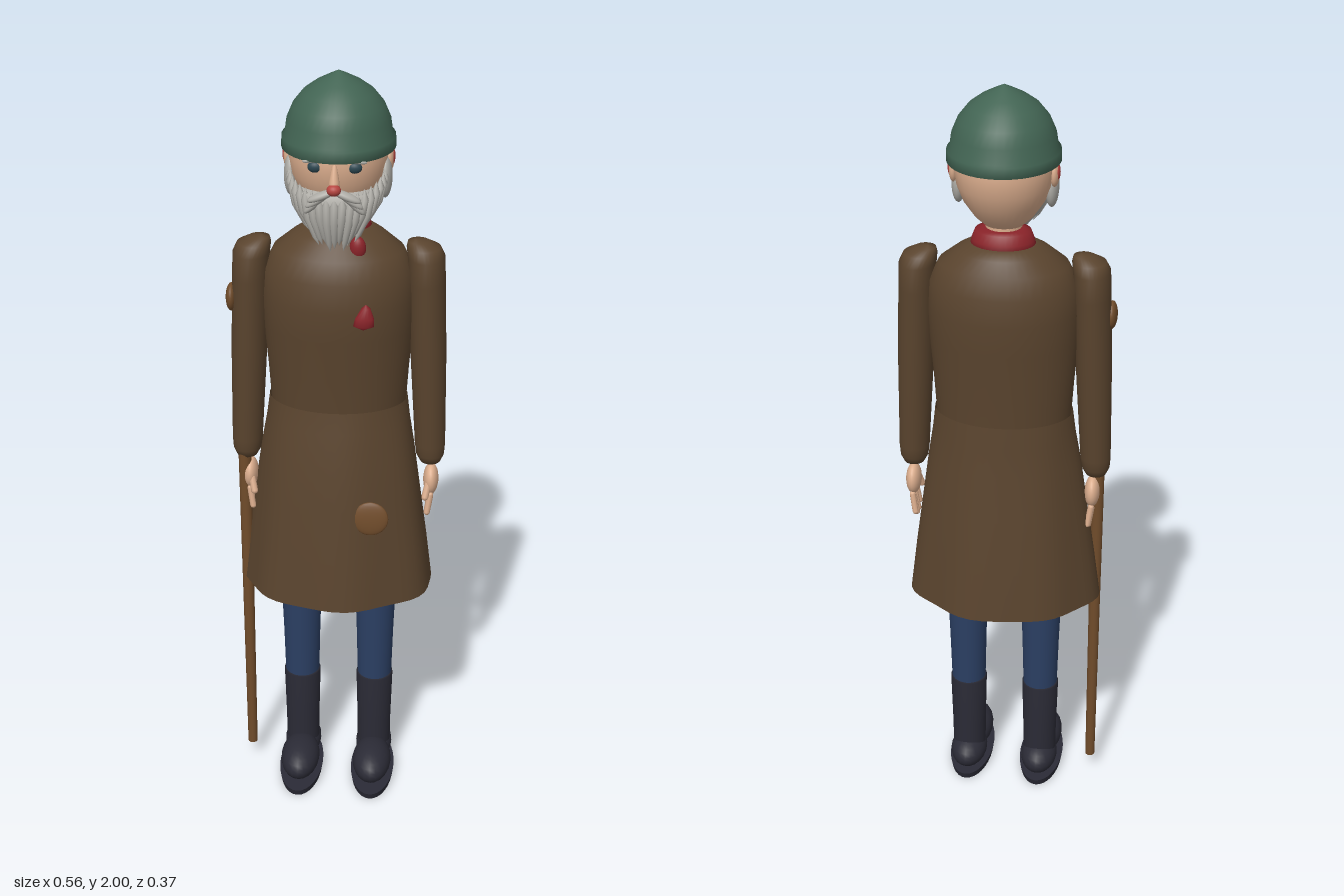
import * as THREE from 'three';

const mat = (name, color) => {
  const m = new THREE.MeshStandardMaterial({ color });
  m.name = name;
  return m;
};

export function createModel() {
  const coat = mat('coat brown', 0x5a442e);
  coat.side = THREE.DoubleSide;
  const wool = mat('hat green', 0x426453);
  const denim = mat('trouser blue', 0x2b3f63);
  const leather = mat('boot black', 0x2b2b36);
  const skin = mat('skin', 0xdcae8e);
  const hair = mat('beard grey', 0xaeaca6);
  const red = mat('scarf red', 0x8a2329);
  const tan = mat('wood brown', 0x704c2b);
  const iris = mat('eye teal', 0x2c4650);
  const flush = mat('flushed red', 0xb5443f);

  const model = new THREE.Group();
  const add = (name, geometry, material, parent = model) => {
    const m = new THREE.Mesh(geometry, material);
    m.name = name;
    parent.add(m);
    return m;
  };

  // Skin over elliptical rings [y, rx, rz, cx, cz], listed from bottom to top
  const loft = (rings, n = 32, swell = () => 1) => {
    const pos = [], idx = [];
    rings.forEach(([y, rx, rz, cx = 0, cz = 0], i) => {
      for (let j = 0; j < n; j++) {
        const a = (j / n) * Math.PI * 2, s = swell(a, i / (rings.length - 1));
        pos.push(cx + Math.sin(a) * rx * s, y, cz + Math.cos(a) * rz * s);
        if (i === rings.length - 1) continue;
        const k = (j + 1) % n, p = i * n;
        idx.push(p + j, p + k, p + n + k, p + j, p + n + k, p + n + j);
      }
    });
    const g = new THREE.BufferGeometry();
    g.setAttribute('position', new THREE.Float32BufferAttribute(pos, 3));
    g.setIndex(idx);
    g.computeVertexNormals();
    return g;
  };
  const blob = (name, material, [x, y, z], [rx, ry, rz], parent = model) => {
    const m = add(name, new THREE.SphereGeometry(1, 20, 14), material, parent);
    m.position.set(x, y, z);
    m.scale.set(rx, ry, rz);
    return m;
  };

  // Coat: body, then a flared skirt with a wavy hem
  add('coatBody', loft([
    [1.12, 0.17, 0.12, 0, -0.007], [1.25, 0.178, 0.127, 0, -0.006], [1.36, 0.187, 0.138, 0, -0.004],
    [1.44, 0.19, 0.143, 0, -0.004], [1.51, 0.185, 0.136, 0, -0.006], [1.56, 0.16, 0.116, 0, -0.008],
    [1.595, 0.115, 0.092, 0, -0.012], [1.615, 0.08, 0.07, 0, -0.018], [1.62, 0, 0, 0, -0.02],
  ], 40), coat);
  const folds = (a, t) => 1 + (1 - t) * (0.025 + 0.025 * Math.sin(7 * a + 0.6) + 0.015 * Math.sin(4 * a + 2));
  add('coatSkirt', loft([
    [0.615, 0.243, 0.177], [0.75, 0.228, 0.166], [0.9, 0.209, 0.152],
    [1.02, 0.194, 0.139], [1.1, 0.182, 0.129, 0, -0.005], [1.16, 0.176, 0.123, 0, -0.007],
  ], 48, folds), coat);

  // Patches and scarf
  blob('skirtPatch', tan, [0.093, 0.88, 0.148], [0.046, 0.046, 0.01]).rotation.x = -0.1;
  blob('sleevePatch', tan, [-0.266, 1.425, 0.012], [0.014, 0.036, 0.032]);
  add('scarf', loft([
    [1.595, 0, 0, 0, -0.02], [1.6, 0.083, 0.068, 0, -0.02], [1.625, 0.077, 0.06, 0, -0.02],
    [1.648, 0.068, 0.054, 0, -0.02], [1.652, 0.05, 0.04, 0, -0.02], [1.652, 0, 0, 0, -0.02],
  ]), red);
  blob('scarfKnot', red, [0.052, 1.588, 0.075], [0.02, 0.03, 0.016]);
  add('scarfEnd', loft([
    [1.4, 0, 0, 0.07, 0.135], [1.41, 0.026, 0.012, 0.071, 0.132], [1.43, 0.023, 0.013, 0.073, 0.131],
    [1.455, 0.011, 0.01, 0.076, 0.128], [1.464, 0, 0, 0.076, 0.126],
  ], 14), red);

  // Limbs, mirrored left and right
  for (const s of [1, -1]) {
    const side = s > 0 ? 'left' : 'right';
    add(side + 'Sleeve', loft([
      [0.975, 0, 0, s * 0.238, 0.003], [0.98, 0.026, 0.027, s * 0.238, 0.003], [1.0, 0.036, 0.036, s * 0.237, 0.002],
      [1.03, 0.039, 0.039, s * 0.236, 0.001], [1.28, 0.045, 0.053, s * 0.226], [1.48, 0.046, 0.063, s * 0.218],
      [1.545, 0.046, 0.064, s * 0.215], [1.568, 0.042, 0.045, s * 0.208], [1.583, 0.026, 0.025, s * 0.195], [1.588, 0, 0, s * 0.188],
    ], 28), coat);

    const hand = new THREE.Group();
    hand.name = side + 'Hand';
    hand.position.set(s * (s > 0 ? 0.241 : 0.23), 0.925, 0.003);
    model.add(hand);
    blob('palm', skin, [0, 0, 0], [0.02, 0.043, 0.037], hand);
    for (let i = 0; i < 4; i++) {
      const z = (i - 1.5) * 0.016;
      const f = add('finger', new THREE.CapsuleGeometry(0.008, 0.05, 4, 8), skin, hand);
      f.position.set(-s * 0.004, -0.06 - (i === 1 || i === 2 ? 0.012 : 0), z * 1.15);
      f.rotation.set(-z * 5, 0, -s * 0.15);
    }
    const thumb = add('thumb', new THREE.CapsuleGeometry(0.009, 0.035, 4, 8), skin, hand);
    thumb.position.set(-s * 0.01, -0.02, 0.032);
    thumb.rotation.set(-0.35, 0, -s * 0.2);

    // Trouser leg, boot shaft, foot and sole
    const leg = new THREE.Group();
    leg.name = side + 'Leg';
    leg.position.x = s * 0.1;
    model.add(leg);
    add('trouserLeg', loft([
      [0.29, 0.046, 0.047], [0.45, 0.05, 0.05], [0.62, 0.056, 0.055], [0.85, 0.06, 0.06], [0.88, 0, 0],
    ], 24), denim, leg);
    add('bootShaft', loft([
      [0.05, 0.045, 0.046], [0.15, 0.046, 0.047], [0.305, 0.05, 0.05], [0.31, 0.046, 0.046], [0.31, 0, 0],
    ], 24), leather, leg);
    blob('bootToe', leather, [0, 0.065, 0.085], [0.053, 0.049, 0.09], leg);
    blob('bootHeel', leather, [0, 0.06, -0.008], [0.05, 0.046, 0.077], leg);
    const sole = add('sole', new THREE.CylinderGeometry(1, 0.95, 0.02, 32), leather, leg);
    sole.position.set(0, 0.01, 0.05);
    sole.scale.set(0.06, 1, 0.138);
  }

  // Walking stick
  const stick = add('walkingStick', new THREE.CylinderGeometry(0.017, 0.013, 1.015, 14), tan);
  stick.position.set(-0.243, 0.5625, 0.015);

  // Head and neck
  add('neck', new THREE.CylinderGeometry(0.045, 0.045, 0.11, 20), skin).position.set(0, 1.64, -0.007);
  add('head', loft([
    [1.645, 0, 0, 0, -0.002], [1.655, 0.045, 0.045, 0, -0.002], [1.68, 0.073, 0.075], [1.72, 0.1, 0.103],
    [1.76, 0.115, 0.121], [1.8, 0.12, 0.128], [1.85, 0.118, 0.126], [1.9, 0.09, 0.095], [1.93, 0, 0],
  ]), skin);
  add('hat', loft([
    [1.826, 0, 0], [1.82, 0.128, 0.135], [1.82, 0.137, 0.147], [1.846, 0.136, 0.146], [1.85, 0.129, 0.138],
    [1.885, 0.124, 0.133], [1.92, 0.109, 0.117], [1.95, 0.085, 0.091], [1.972, 0.055, 0.058], [1.99, 0.021, 0.022], [2, 0, 0],
  ].map(r => [...r, 0, -0.004]), 40), wool);
  add('nose', loft([
    [1.745, 0, 0, 0, 0.135], [1.752, 0.015, 0.016, 0, 0.135], [1.775, 0.012, 0.014, 0, 0.131], [1.81, 0.006, 0.008, 0, 0.125], [1.815, 0, 0, 0, 0.125],
  ], 14), skin);
  blob('noseTip', flush, [0, 1.757, 0.143], [0.017, 0.014, 0.015]);

  for (const s of [1, -1]) {
    blob('eye', iris, [s * 0.046, 1.803, 0.113], [0.018, 0.014, 0.012]);
    blob('eyebrow', hair, [s * 0.046, 1.822, 0.119], [0.03, 0.007, 0.01]).rotation.z = -s * 0.15;
    blob('ear', skin, [s * 0.121, 1.79, -0.005], [0.012, 0.034, 0.024]);
    blob('innerEar', flush, [s * 0.129, 1.793, -0.006], [0.006, 0.02, 0.015]);
    blob('sideburn', hair, [s * 0.113, 1.75, 0.015], [0.017, 0.052, 0.034]);
    // Moustache half, drooping outwards
    for (let i = 0; i < 3; i++) {
      const h = blob('moustache', hair, [s * (0.03 + i * 0.008), 1.739 - i * 0.01, 0.134 - i * 0.004], [0.036, 0.01, 0.014]);
      h.rotation.z = -s * (0.4 + i * 0.2);
    }
  }

  // Beard: a full core with overlapping tapered strands
  add('beardCore', loft([
    [1.605, 0, 0, 0, 0.088], [1.625, 0.047, 0.035, 0, 0.087], [1.66, 0.078, 0.052, 0, 0.08],
    [1.7, 0.1, 0.07, 0, 0.066], [1.735, 0.106, 0.08, 0, 0.052], [1.75, 0, 0, 0, 0.05],
  ]), hair);
  const strands = 21;
  for (let i = 0; i < strands; i++) {
    const a = (i / (strands - 1) - 0.5) * 3.3, sn = Math.sin(a), cs = Math.cos(a);
    const top = 1.785 - 0.045 * cs, tip = 1.655 - 0.062 * cs + (i % 3) * 0.008;
    const at = t => top + (tip - top) * t;
    add('beardStrand', loft([
      [tip, 0, 0, sn * 0.062, 0.068 + cs * 0.05], [at(0.85), 0.007, 0.008, sn * 0.076, 0.064 + cs * 0.058],
      [at(0.5), 0.011, 0.012, sn * 0.102, 0.05 + cs * 0.082], [at(0.2), 0.011, 0.012, sn * 0.113, 0.036 + cs * 0.094],
      [top, 0, 0, sn * 0.114, 0.03 + cs * 0.095],
    ], 10), hair);
  }
  return model;
}
